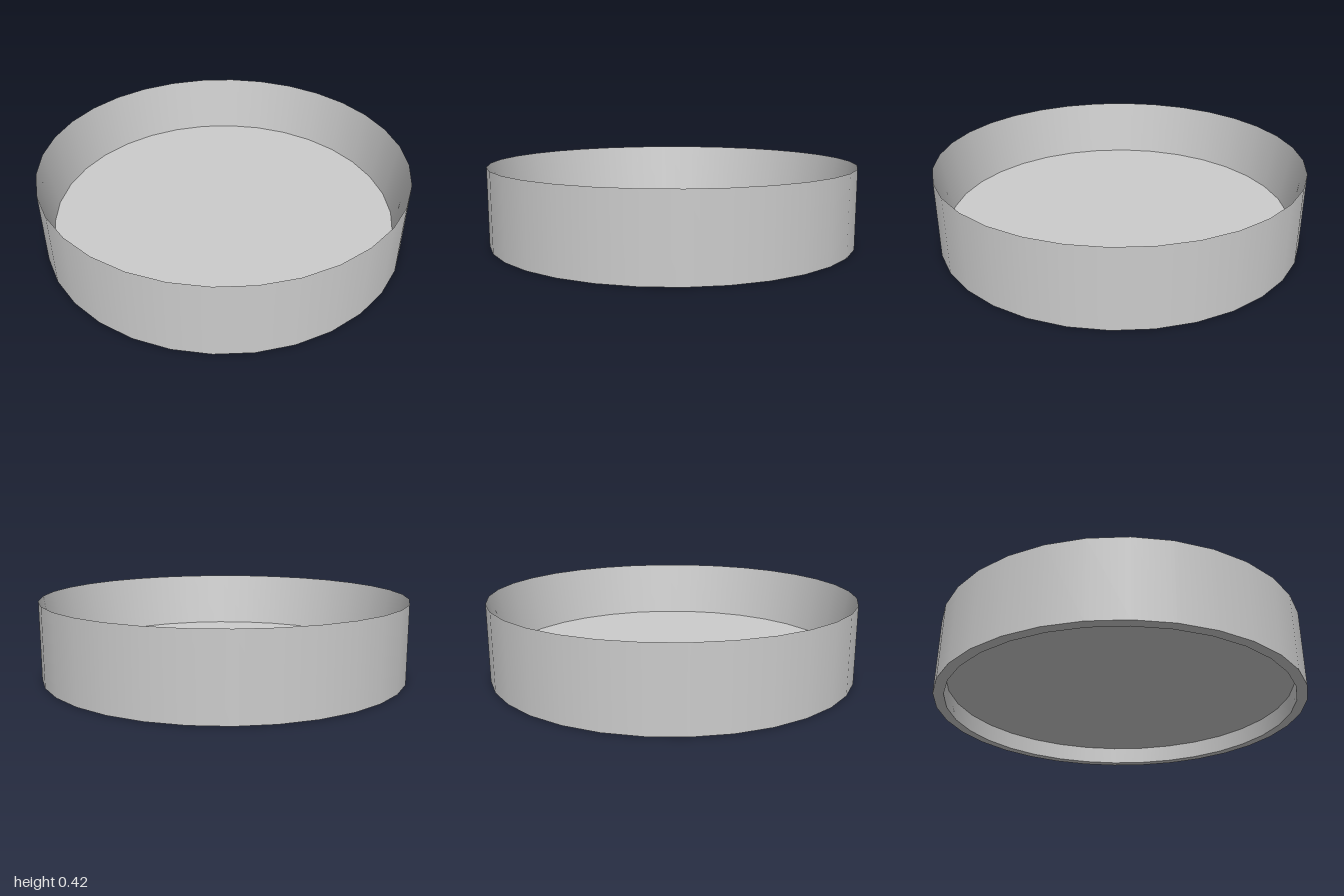
import * as THREE from 'three';

const SEGMENTS = 32;
const OUTER = 1;      // outer radius, also the knife-edge rim
const INNER = 0.945;  // floor and foot recess radius
const HEIGHT = 0.42;
const FLOOR = 0.1;    // height of the floor above the ground

export function createModel() {
  const model = new THREE.Group();
  model.name = 'shallowDish';
  const material = new THREE.MeshStandardMaterial({ color: 0xcccccc, side: THREE.DoubleSide });

  // One straight band revolved about y, kept separate so its edges stay sharp
  function band(name, from, to) {
    const profile = [new THREE.Vector2(...from), new THREE.Vector2(...to)];
    const mesh = new THREE.Mesh(new THREE.LatheGeometry(profile, SEGMENTS), material);
    mesh.name = name;
    model.add(mesh);
  }

  // Walls: straight outside, flaring inside up to a thin rim
  band('outerWall', [OUTER, 0], [OUTER, HEIGHT]);
  band('innerWall', [OUTER, HEIGHT], [INNER, FLOOR]);

  // Foot: flat ring on the ground and the recess under the floor
  band('footRing', [INNER, 0], [OUTER, 0]);
  band('footRecess', [INNER, FLOOR], [INNER, 0]);

  // Floor: thin disc seen from above and below
  const floor = new THREE.Mesh(new THREE.CircleGeometry(INNER, SEGMENTS).rotateX(-Math.PI / 2), material);
  floor.name = 'floor';
  floor.position.y = FLOOR;
  model.add(floor);

  return model;
}
